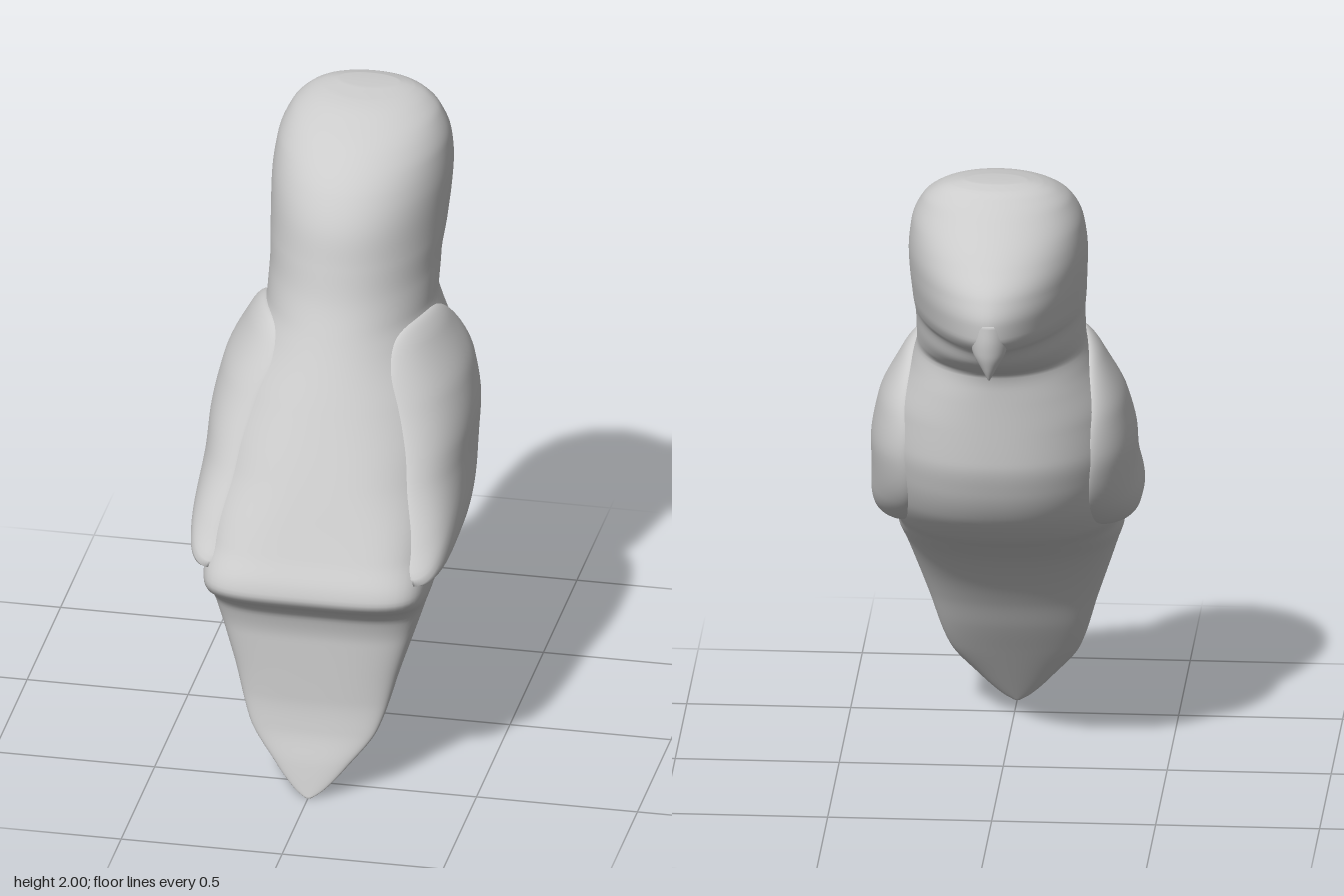
import * as THREE from 'three';

const material = new THREE.MeshStandardMaterial({ color: 0xcccccc, side: THREE.DoubleSide });

// Smooth monotone curve through [height, value] pairs listed from low to high
function profile(pts) {
  const n = pts.length;
  const slope = (i) => (pts[i + 1][1] - pts[i][1]) / (pts[i + 1][0] - pts[i][0]);
  const tangent = pts.map((p, i) => {
    if (i === 0) return slope(0);
    if (i === n - 1) return slope(n - 2);
    const a = slope(i - 1), b = slope(i);
    return a * b <= 0 ? 0 : (2 * a * b) / (a + b);
  });
  return (y) => {
    let i = 0;
    while (i < n - 2 && y > pts[i + 1][0]) i++;
    const h = pts[i + 1][0] - pts[i][0];
    const t = THREE.MathUtils.clamp((y - pts[i][0]) / h, 0, 1), u = 1 - t;
    return pts[i][1] * (1 + 2 * t) * u * u + tangent[i] * h * t * u * u
      + pts[i + 1][1] * t * t * (3 - 2 * t) - tangent[i + 1] * h * t * t * u;
  };
}

// Stack of closed horizontal sections, capped at both ends
function loft(shape, heights, seg = 96) {
  const pos = [], idx = [];
  for (const y of heights) {
    const w = shape.width(y), c = shape.centre(y);
    for (let j = 0; j < seg; j++) {
      const a = (j / seg) * Math.PI * 2, co = Math.cos(a), si = Math.sin(a);
      const n = si > 0 ? shape.backPower(y) : shape.frontPower(y);
      const depth = si > 0 ? shape.back(y) - c : c - shape.front(y);
      const r = Math.pow(Math.abs(co) ** n + Math.abs(si) ** n, -1 / n);
      pos.push(w * r * co, y, c + depth * r * si);
    }
  }
  const rows = heights.length;
  for (let i = 0; i < rows - 1; i++) {
    for (let j = 0; j < seg; j++) {
      const a = i * seg + j, b = i * seg + ((j + 1) % seg);
      idx.push(a, a + seg, b, b, a + seg, b + seg);
    }
  }
  const last = (rows - 1) * seg, k = rows * seg;
  pos.push(0, heights[0], shape.centre(heights[0]));
  pos.push(0, heights[rows - 1], shape.centre(heights[rows - 1]));
  for (let j = 0; j < seg; j++) {
    const m = (j + 1) % seg;
    idx.push(k, j, m, k + 1, last + m, last + j);
  }
  return buildGeometry(pos, idx);
}

function buildGeometry(pos, idx) {
  const g = new THREE.BufferGeometry();
  g.setAttribute('position', new THREE.Float32BufferAttribute(pos, 3));
  g.setIndex(idx);
  g.computeVertexNormals();
  return g;
}

// Head, breast, back and tail in one flowing form
const body = {
  back: profile([[0, 0.615], [0.1, 0.59], [0.2, 0.56], [0.3, 0.547], [0.5, 0.545], [0.58, 0.56], [0.63, 0.6],
    [0.66, 0.645], [0.69, 0.662], [0.72, 0.655], [0.8, 0.61], [1, 0.505], [1.2, 0.395], [1.4, 0.285], [1.5, 0.24],
    [1.6, 0.212], [1.7, 0.185], [1.8, 0.13], [1.9, 0.025], [1.96, -0.09], [1.985, -0.16], [2, -0.25]]),
  front: profile([[0, 0.605], [0.1, 0.54], [0.2, 0.475], [0.3, 0.41], [0.4, 0.35], [0.5, 0.275], [0.6, 0.17],
    [0.7, 0.0], [0.8, -0.2], [0.9, -0.305], [1, -0.355], [1.1, -0.38], [1.35, -0.385], [1.4, -0.395], [1.43, -0.46],
    [1.48, -0.54], [1.54, -0.59], [1.555, -0.625], [1.6, -0.658], [1.65, -0.66], [1.72, -0.638], [1.8, -0.575],
    [1.9, -0.48], [1.96, -0.42], [1.985, -0.39], [2, -0.34]]),
  width: profile([[0, 0.01], [0.02, 0.04], [0.1, 0.115], [0.21, 0.198], [0.4, 0.258], [0.6, 0.322], [0.68, 0.345],
    [0.75, 0.348], [0.9, 0.36], [1.05, 0.362], [1.2, 0.338], [1.35, 0.275], [1.42, 0.257], [1.5, 0.257],
    [1.6, 0.265], [1.75, 0.272], [1.85, 0.262], [1.93, 0.228], [1.97, 0.185], [1.99, 0.14], [2, 0.09]]),
  centre: profile([[0, 0.61], [0.3, 0.49], [0.6, 0.42], [0.7, 0.38], [0.8, 0.22], [1, 0.06], [1.2, 0], [1.4, -0.06],
    [1.7, -0.2], [1.9, -0.25], [2, -0.3]]),
  backPower: profile([[0, 2.2], [0.4, 3], [0.6, 3.5], [0.7, 4.5], [0.8, 4], [1, 2.7], [1.3, 2.1], [2, 2]]),
  frontPower: profile([[0, 2], [0.7, 2.3], [1.3, 2.2], [1.45, 1.8], [1.55, 1.65], [1.7, 1.75], [1.85, 2], [2, 2]]),
};

// Half width of the body at a given height and depth
function bodySide(y, z) {
  const c = body.centre(y), rear = z > c;
  const n = rear ? body.backPower(y) : body.frontPower(y);
  const d = rear ? (z - c) / (body.back(y) - c) : (c - z) / (c - body.front(y));
  return body.width(y) * Math.pow(1 - Math.min(d, 0.985) ** n, 1 / n);
}

// Hooked tip of the upper beak
const beak = {
  back: profile([[1.465, -0.618], [1.5, -0.608], [1.53, -0.59], [1.56, -0.54], [1.65, -0.5]]),
  front: profile([[1.465, -0.624], [1.5, -0.642], [1.55, -0.658], [1.6, -0.663], [1.65, -0.661]]),
  width: profile([[1.465, 0.003], [1.5, 0.022], [1.55, 0.05], [1.65, 0.075]]),
  centre: profile([[1.465, -0.621], [1.53, -0.61], [1.65, -0.56]]),
  backPower: () => 2,
  frontPower: () => 1.9,
};

// Folded wing: a thin cushion laid over the side of the body
const wingOutline = new THREE.CatmullRomCurve3([
  [0.575, 0.735], [0.52, 0.83], [0.43, 0.98], [0.34, 1.15], [0.265, 1.3], [0.19, 1.385], [0.08, 1.405],
  [-0.05, 1.385], [-0.17, 1.3], [-0.235, 1.18], [-0.245, 1.06], [-0.2, 0.93], [-0.1, 0.835], [0.05, 0.775],
  [0.3, 0.74], [0.53, 0.728],
].map(([z, y]) => new THREE.Vector3(0, y, z)), true);

function wingGeometry(side) {
  const rim = wingOutline.getSpacedPoints(120).slice(0, 120), seg = rim.length;
  const rings = 28, pos = [], idx = [];
  const mid = new THREE.Vector3(0, 1.03, 0.12);
  for (let i = 0; i <= rings + 1; i++) {
    const s = Math.sin((Math.min(i / rings, 1) * Math.PI) / 2);
    for (const r of rim) {
      const p = mid.clone().lerp(r, s);
      const low = 1 - THREE.MathUtils.smoothstep(p.y, 0.72, 1.0);
      const thick = 0.042 + 0.022 * low;
      const lift = i > rings ? -0.04 : thick * Math.sqrt(Math.max(0, 1 - s ** 8));
      pos.push(side * (bodySide(p.y, p.z) + lift), p.y, p.z);
    }
  }
  for (let i = 0; i <= rings; i++) {
    for (let j = 0; j < seg; j++) {
      const a = i * seg + j, b = i * seg + ((j + 1) % seg);
      if (side > 0) idx.push(a, a + seg, b, b, a + seg, b + seg);
      else idx.push(a, b, a + seg, b, b + seg, a + seg);
    }
  }
  return buildGeometry(pos, idx);
}

export function createModel() {
  const model = new THREE.Group();
  model.name = 'perchedBird';
  const add = (name, geometry) => {
    const mesh = new THREE.Mesh(geometry, material);
    mesh.name = name;
    model.add(mesh);
  };

  // Heights bunch up toward the crown and the tail tip
  const bodyHeights = Array.from({ length: 201 }, (_, i) => {
    const t = i / 200;
    return 2 * (0.6 * t + 0.4 * t * t * (3 - 2 * t));
  });
  bodyHeights.push(1.99, 1.995, 1.998);
  bodyHeights.sort((a, b) => a - b);
  add('body', loft(body, bodyHeights));

  const beakHeights = Array.from({ length: 21 }, (_, i) => 1.465 + (0.185 * i) / 20);
  add('beakHook', loft(beak, beakHeights, 32));

  add('leftWing', wingGeometry(1));
  add('rightWing', wingGeometry(-1));
  return model;
}
